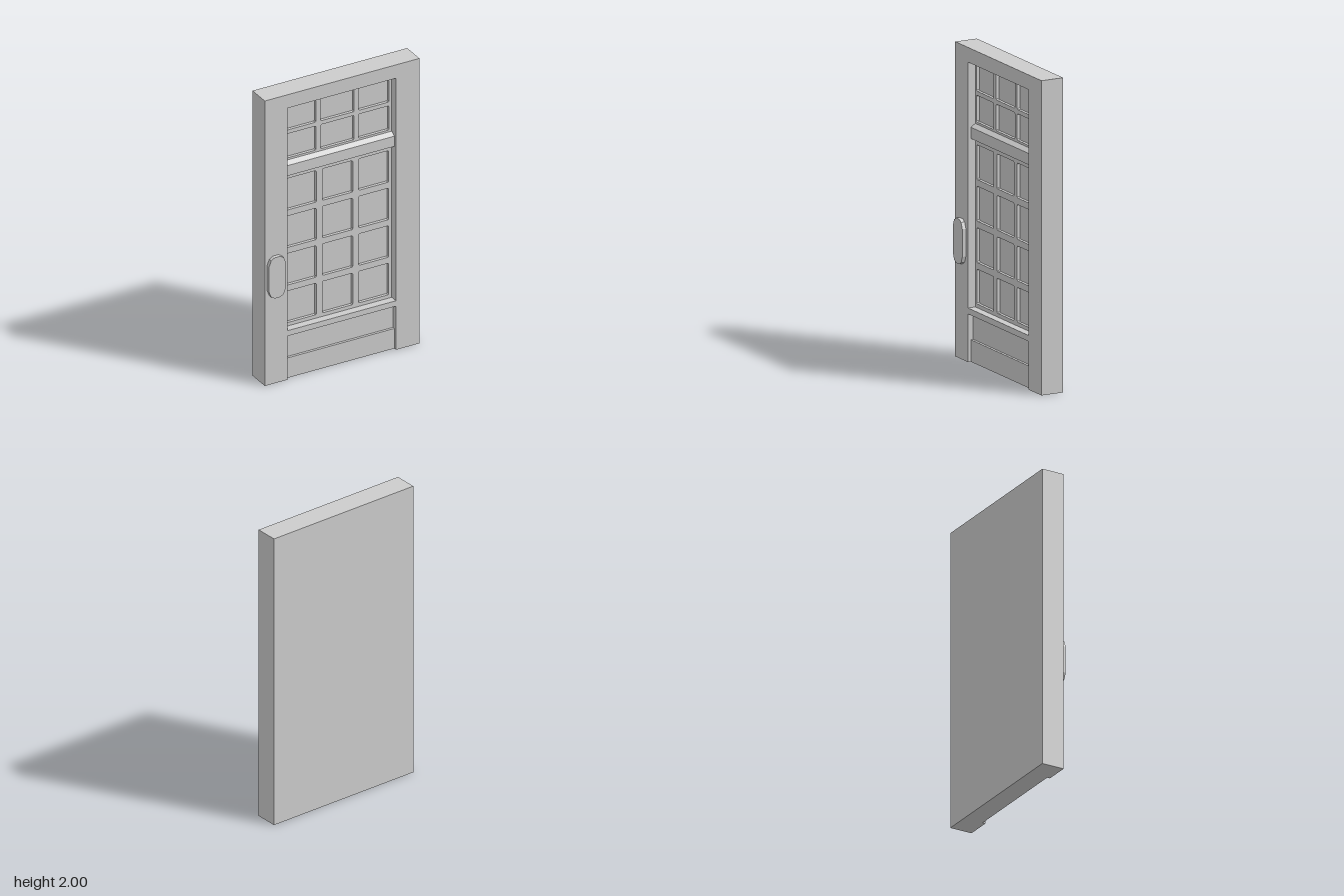
import * as THREE from 'three';

const material = new THREE.MeshStandardMaterial({ color: 0xcccccc, flatShading: true });
const BACK = -0.09, GLASS = -0.01, GRID = 0.01, FRONT = 0.062;
const HALF = 0.548, LEFT = -0.386, RIGHT = 0.381;

function add(parent, name, geometry) {
  const mesh = new THREE.Mesh(geometry, material);
  mesh.name = name;
  parent.add(mesh);
  return mesh;
}

// Box given by its limits
function block(parent, name, x0, x1, y0, y1, z0, z1) {
  add(parent, name, new THREE.BoxGeometry(x1 - x0, y1 - y0, z1 - z0))
    .position.set((x0 + x1) / 2, (y0 + y1) / 2, (z0 + z1) / 2);
}

const outline = (points) => points.map(([x, y]) => new THREE.Vector2(x, y));

// Rectangle with clipped corners
function rect(x0, x1, y0, y1, c = 0) {
  if (!c) return outline([[x0, y0], [x1, y0], [x1, y1], [x0, y1]]);
  return outline([[x0 + c, y0], [x1 - c, y0], [x1, y0 + c], [x1, y1 - c],
    [x1 - c, y1], [x0 + c, y1], [x0, y1 - c], [x0, y0 + c]]);
}

function extrude(points, holes, z0, z1) {
  const shape = new THREE.Shape(points);
  holes.forEach((h) => shape.holes.push(new THREE.Path(h)));
  return new THREE.ExtrudeGeometry(shape, { depth: z1 - z0, bevelEnabled: false }).translate(0, 0, z0);
}

// Glazing bars: one plate with a hole for each pane
function glazing(parent, name, y0, y1, columns, rows) {
  const holes = [];
  for (const [a, b] of columns) for (const [c, d] of rows) holes.push(rect(a, b, c, d, 0.006));
  add(parent, name, extrude(rect(LEFT, RIGHT, y0, y1), holes, GLASS, GRID));
}

export function createModel() {
  const door = new THREE.Group();
  door.name = 'door';

  // Solid back, its front face showing as the panes
  block(door, 'backSlab', -HALF, HALF, 0, 2, BACK, GLASS);

  // Surround with window opening, and a notch for the kick panels
  const surround = outline([[-HALF, 0], [LEFT, 0], [LEFT, 0.306], [RIGHT, 0.306],
    [RIGHT, 0], [HALF, 0], [HALF, 2], [-HALF, 2]]);
  add(door, 'frame', extrude(surround, [rect(LEFT, RIGHT, 0.344, 1.906)], GLASS, FRONT));

  // Upper light and main window
  glazing(door, 'upperGlazingBars', 1.5, 1.906,
    [[-0.372, -0.156], [-0.122, 0.115], [0.146, 0.363]],
    [[1.524, 1.693], [1.72, 1.892]]);
  const rows = [];
  for (let i = 0; i < 4; i++) rows.push([0.368 + i * 0.2635, 0.589 + i * 0.2635]);
  glazing(door, 'mainGlazingBars', 0.344, 1.5,
    [[-0.367, -0.153], [-0.111, 0.105], [0.146, 0.36]], rows);

  // Chamfered transom between them: profile (z, y) run along x
  const profile = outline([[GRID, 1.406], [0.042, 1.418], [0.042, 1.49], [GRID, 1.51]]);
  const transom = add(door, 'transom', extrude(profile, [], 0, RIGHT - LEFT));
  transom.rotation.y = -Math.PI / 2;
  transom.position.x = RIGHT;

  // Stepped kick panels
  block(door, 'upperKickPanel', LEFT, RIGHT, 0.14, 0.306, GLASS, 0.025);
  block(door, 'lowerKickPanel', LEFT, RIGHT, 0, 0.14, GLASS, 0.042);

  // Handle plate: straight sides, faceted ends
  const quarter = [[0.06, 0.088], [0.044, 0.128], [0.02, 0.143]];
  const upper = [...quarter, ...quarter.map(([x, y]) => [-x, y]).reverse()];
  const plate = outline([...upper, ...upper.map(([x, y]) => [-x, -y])]);
  add(door, 'handlePlate', extrude(plate, [], FRONT, 0.087)).position.set(-0.472, 0.753, 0);

  // Profile axis z maps onto +z by mirroring the run direction
  transom.rotation.y = -Math.PI / 2;
  transom.position.x = RIGHT;
  return door;
}
